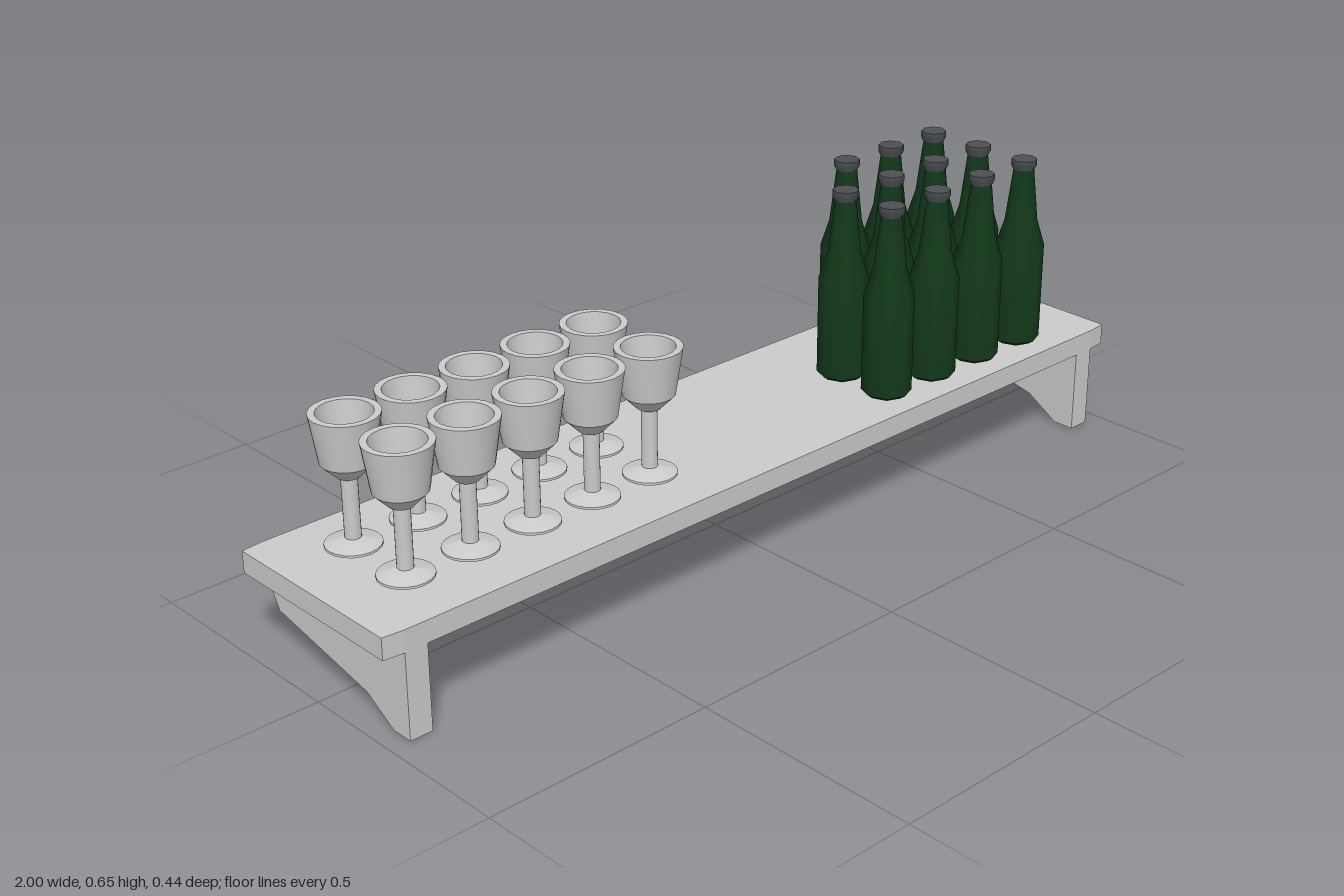
import * as THREE from 'three';
import { toCreasedNormals } from 'three/addons/utils/BufferGeometryUtils.js';

const grey = new THREE.MeshStandardMaterial({ color: 0xcccccc });
const green = new THREE.MeshStandardMaterial({ color: 0x12381a });
const capGrey = new THREE.MeshStandardMaterial({ color: 0x4c5053 });
const SHELF_TOP = 0.228;

// Revolve a bottom-to-top list of [radius, height]
function lathe(points, sides, crease) {
  const profile = points.map(([r, y]) => new THREE.Vector2(r, y));
  return toCreasedNormals(new THREE.LatheGeometry(profile, sides), crease);
}

function extrude(points, depth) {
  const shape = new THREE.Shape(points.map(([x, y]) => new THREE.Vector2(x, y)));
  return new THREE.ExtrudeGeometry(shape, { depth, bevelEnabled: false });
}

function part(name, geometry, material) {
  const mesh = new THREE.Mesh(geometry, material);
  mesh.name = name;
  return mesh;
}

export function createModel() {
  const model = new THREE.Group();
  model.name = 'shelfWithGlassesAndBottles';

  // Board with slightly clipped corners
  const board = extrude([
    [-1, -0.216], [-0.955, -0.221], [0.955, -0.221], [1, -0.216],
    [1, 0.216], [0.955, 0.221], [-0.955, 0.221], [-1, 0.216],
  ], 0.046);
  board.rotateX(-Math.PI / 2).translate(0, 0.182, 0);
  model.add(part('board', board, grey));

  // Brackets: side profile in (-z, y), extruded along x
  const bracket = extrude([
    [-0.221, 0], [-0.172, 0], [-0.095, 0.046], [0.175, 0.101], [0.221, 0.182], [-0.221, 0.182],
  ], 0.05);
  bracket.rotateY(Math.PI / 2).translate(-0.025, 0, 0);
  for (const side of [-1, 1]) {
    const mesh = part(side > 0 ? 'leftBracket' : 'rightBracket', bracket, grey);
    mesh.position.x = side * 0.931;
    model.add(mesh);
  }

  // Goblets: foot, stem and hollow cup in one profile
  const goblet = lathe([
    [0, 0.24], [0.055, 0.24], [0.055, 0.245], [0.016, 0.257], [0.016, 0.383],
    [0.024, 0.383], [0.053, 0.413], [0.068, 0.511], [0.054, 0.511], [0.045, 0.425], [0, 0.415],
  ], 20, 0.5);
  for (const z of [-0.077, 0.083]) {
    for (let i = 0; i < 5; i++) {
      const mesh = part('goblet', goblet, grey);
      mesh.position.set(-0.847 + i * 0.148, 0, z);
      model.add(mesh);
    }
  }

  // Bottles: eight-sided body with a flared cap
  const body = lathe([
    [0, 0], [0.041, 0], [0.0535, 0.009], [0.0535, 0.225], [0.0355, 0.283], [0.022, 0.402],
  ], 8, 0.9);
  const cap = lathe([
    [0.019, 0.4], [0.024, 0.4], [0.028, 0.409], [0.0275, 0.422], [0, 0.422],
  ], 8, 0.9);
  for (let row = 0; row < 3; row++) {
    for (let i = row === 0 ? 1 : 0; i < 4; i++) { // one bottle missing at the back
      const bottle = new THREE.Group();
      bottle.name = 'bottle';
      bottle.add(part('bottleBody', body, green), part('bottleCap', cap, capGrey));
      bottle.position.set(0.375 + i * 0.14, SHELF_TOP, (row - 1) * 0.13);
      model.add(bottle);
    }
  }
  return model;
}
